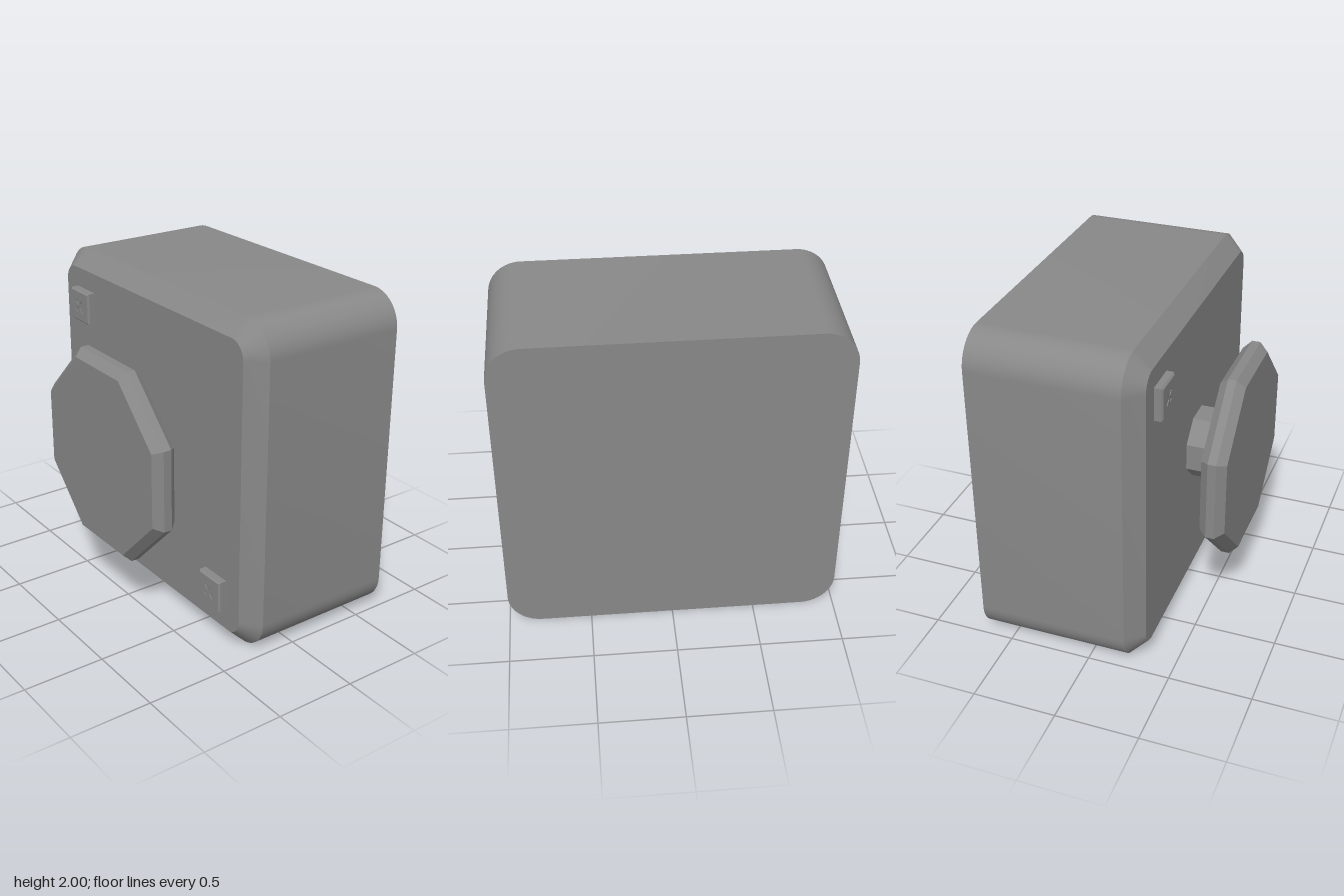
import * as THREE from 'three';
import { toCreasedNormals } from 'three/addons/utils/BufferGeometryUtils.js';

const material = new THREE.MeshStandardMaterial({ color: 0x888888 });

// Counter-clockwise square outline with rounded corners
function roundedSquare(half, radius, steps = 14) {
  const points = [];
  for (let corner = 0; corner < 4; corner++) {
    const mid = Math.PI / 4 + corner * Math.PI / 2;
    const cx = Math.sign(Math.cos(mid)) * (half - radius);
    const cy = Math.sign(Math.sin(mid)) * (half - radius);
    for (let i = 0; i <= steps; i++) {
      const a = mid - Math.PI / 4 + (i / steps) * Math.PI / 2;
      points.push([cx + radius * Math.cos(a), cy + radius * Math.sin(a)]);
    }
  }
  return points;
}

// Regular outline with a flat side on top, sized by centre-to-side distance
function polygon(sides, apothem) {
  const r = apothem / Math.cos(Math.PI / sides);
  return Array.from({ length: sides }, (_, i) => {
    const a = ((i + 0.5) / sides) * Math.PI * 2;
    return [r * Math.cos(a), r * Math.sin(a)];
  });
}

// Skin a stack of [outline, z] sections from back to front, with end caps
function loft(sections, frontCap = true) {
  const positions = [];
  const n = sections[0][0].length;
  const at = (k, i) => [...sections[k][0][i % n], sections[k][1]];
  const last = sections.length - 1;
  for (let i = 0; i < n; i++) {
    for (let k = 0; k < last; k++) {
      const a = at(k, i), b = at(k, i + 1), c = at(k + 1, i + 1), d = at(k + 1, i);
      positions.push(...a, ...b, ...c, ...a, ...c, ...d);
    }
    positions.push(0, 0, sections[0][1], ...at(0, i + 1), ...at(0, i));
    if (frontCap) positions.push(0, 0, sections[last][1], ...at(last, i), ...at(last, i + 1));
  }
  const geometry = new THREE.BufferGeometry();
  geometry.setAttribute('position', new THREE.Float32BufferAttribute(positions, 3));
  return toCreasedNormals(geometry, 0.5);
}

function addMesh(parent, name, geometry) {
  const mesh = new THREE.Mesh(geometry, material);
  mesh.name = name;
  parent.add(mesh);
  return mesh;
}

// Diagonal cross outline: twelve corners turned by 45 degrees
function crossPath(length, width) {
  const points = [];
  for (let arm = 0; arm < 4; arm++) {
    const turn = Math.PI / 4 + arm * Math.PI / 2;
    for (const [x, y] of [[length, -width], [length, width], [width, width]]) {
      points.push(new THREE.Vector2(x, y).rotateAround(new THREE.Vector2(), turn));
    }
  }
  return points;
}

// Small square screw plate with a shallow engraved cross
function createScrew(name) {
  const screw = new THREE.Group();
  screw.name = name;
  const outer = polygon(4, 0.1), inner = polygon(4, 0.09);
  addMesh(screw, 'screwPlate', loft([[outer, -0.01], [outer, 0.04], [inner, 0.05]], false));

  const face = new THREE.Shape(inner.map(([x, y]) => new THREE.Vector2(x, y)));
  const cross = crossPath(0.05, 0.011);
  face.holes.push(new THREE.Path(cross));
  const faceGeometry = new THREE.ExtrudeGeometry(face, { depth: 0.005, bevelEnabled: false });
  addMesh(screw, 'screwFace', faceGeometry).position.z = 0.045;
  addMesh(screw, 'crossFloor', new THREE.ShapeGeometry(new THREE.Shape(cross))).position.z = 0.046;
  return screw;
}

export function createModel() {
  const model = new THREE.Group();
  model.name = 'wallBoxWithKnob';

  // Rounded housing with a chamfered front edge
  const rim = roundedSquare(1, 0.2);
  addMesh(model, 'housing', loft([
    [rim, -0.675], [rim, 0.225], [roundedSquare(0.9, 0.1), 0.325],
  ])).position.y = 1;

  // Octagonal push knob on its stem
  const stem = polygon(8, 0.2);
  addMesh(model, 'knobStem', loft([[stem, 0.3], [stem, 0.54]])).position.y = 1;
  const wide = polygon(8, 0.6), narrow = polygon(8, 0.553);
  addMesh(model, 'knob', loft([
    [narrow, 0.525], [wide, 0.575], [wide, 0.625], [narrow, 0.675],
  ])).position.y = 1;

  // Screws in opposite corners
  for (const [name, side] of [['upperScrew', -1], ['lowerScrew', 1]]) {
    const screw = createScrew(name);
    screw.position.set(side * 0.68, 1 - side * 0.68, 0.325);
    model.add(screw);
  }
  return model;
}
